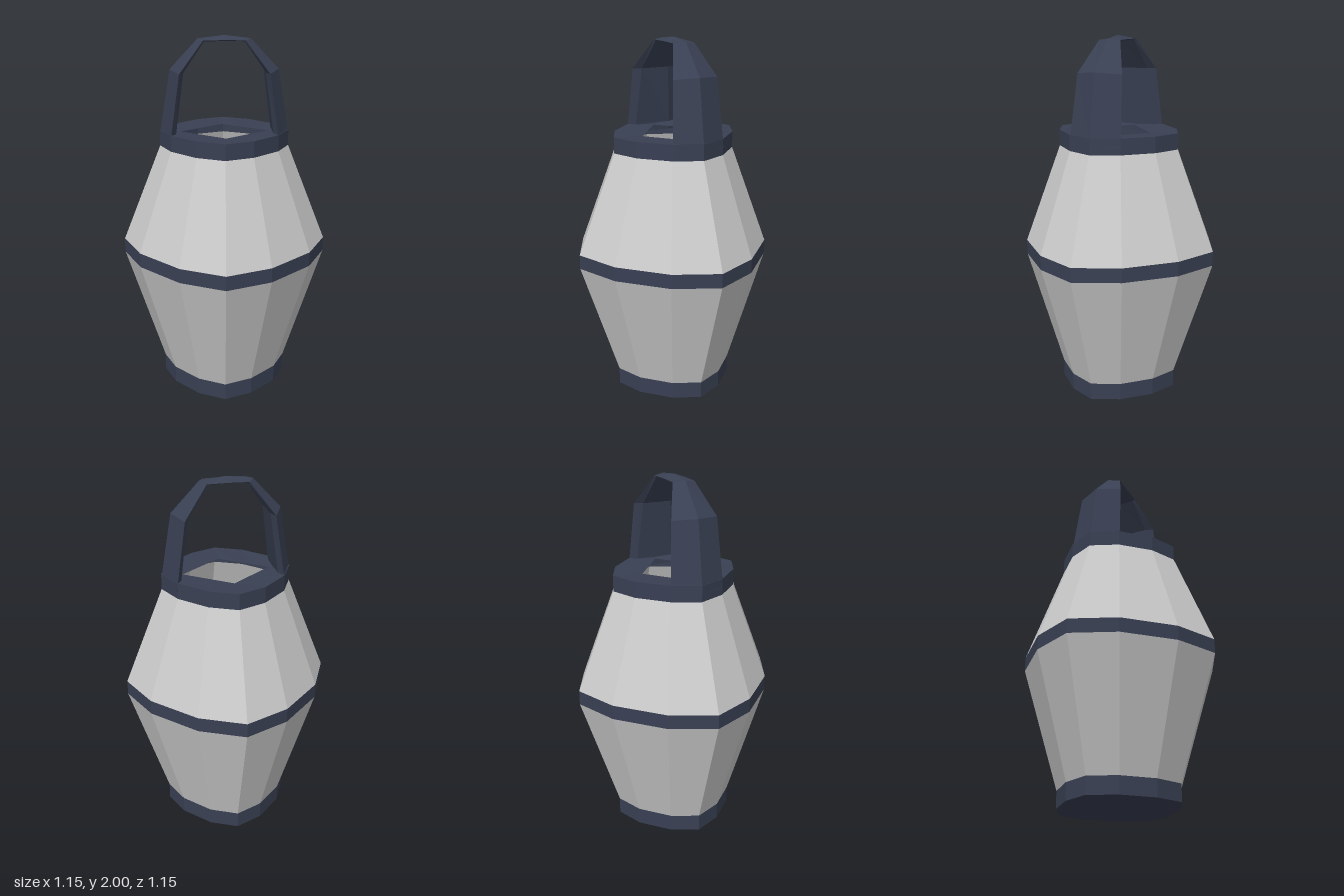
import * as THREE from 'three';

const SIDES = 12;
const grey = new THREE.MeshStandardMaterial({ color: 0xcccccc, side: THREE.DoubleSide });
grey.name = 'pale grey panel';
const navy = new THREE.MeshStandardMaterial({ color: 0x394053, side: THREE.DoubleSide });
navy.name = 'dark navy metal';

// Flat-faceted skin over a list of closed cross-sections
function loft(sections) {
  const pos = [];
  const n = sections[0].length;
  for (let s = 0; s < sections.length - 1; s++) {
    for (let i = 0; i < n; i++) {
      const j = (i + 1) % n;
      const a = sections[s][i], b = sections[s][j];
      const c = sections[s + 1][j], d = sections[s + 1][i];
      pos.push(...a, ...d, ...c, ...a, ...c, ...b);
    }
  }
  const g = new THREE.BufferGeometry();
  g.setAttribute('position', new THREE.Float32BufferAttribute(pos, 3));
  g.computeVertexNormals();
  return g;
}

// Slightly twisted, rounded-diamond outline: one quadrant repeated four times
const quadrant = [[0.573, 0.025], [0.455, 0.262], [0.222, 0.476]];
function ring(y, scale) {
  return Array.from({ length: SIDES }, (_, i) => {
    let [x, z] = quadrant[i % 3];
    for (let q = 0; q < Math.floor(i / 3); q++) [x, z] = [-z, x];
    return [x * scale, y, z * scale];
  });
}

// Diamond-shaped opening with three points per side
function opening(y, rx, rz) {
  const tips = [[rx, 0], [0, rz], [-rx, 0], [0, -rz]];
  return Array.from({ length: SIDES }, (_, i) => {
    const k = Math.floor(i / 3), t = (i % 3) / 3;
    const p = tips[k], q = tips[(k + 1) % 4];
    return [p[0] + (q[0] - p[0]) * t, y, p[1] + (q[1] - p[1]) * t];
  });
}

// Arched handle: half of the stations, the rest turned 180 degrees
function handleSections() {
  // each section: back edge, outer ridge, front edge, inner front, inner back
  const half = [
    [[0.295, 1.44, -0.14], [0.355, 1.44, 0.015], [0.282, 1.44, 0.162], [0.262, 1.44, 0.11], [0.268, 1.44, -0.1]],
    [[0.291, 1.49, -0.139], [0.35, 1.49, 0.014], [0.28, 1.49, 0.158], [0.26, 1.49, 0.11], [0.266, 1.49, -0.1]],
    [[0.245, 1.81, -0.125], [0.295, 1.82, 0.01], [0.235, 1.81, 0.133], [0.218, 1.81, 0.085], [0.222, 1.81, -0.08]],
    [[0.115, 1.977, -0.06], [0.142, 1.983, 0.005], [0.11, 1.977, 0.063], [0.105, 1.971, 0.05], [0.11, 1.971, -0.05]],
  ];
  const top = [[0, 1.979, -0.062], [0, 2, 0], [0, 1.979, 0.062], [0, 1.973, 0.05], [0, 1.973, -0.05]];
  const turned = half.slice().reverse().map((s) =>
    [2, 1, 0, 4, 3].map((k) => [-s[k][0], s[k][1], -s[k][2]]));
  return [...half, top, ...turned];
}

export function createModel() {
  const group = new THREE.Group();
  const add = (name, geometry, material) => {
    const mesh = new THREE.Mesh(geometry, material);
    mesh.name = name;
    group.add(mesh);
    return mesh;
  };

  const NECK = 0.62;
  // Solid foot whose top forms the inner floor
  add('base', loft([ring(0, 0.001), ring(0, NECK), ring(0.095, NECK), ring(0.095, 0.001)]), navy);
  // Flaring body with a band around the widest point
  add('lowerBody', loft([ring(0.095, NECK), ring(0.77, 1)]), grey);
  add('bellyBand', loft([ring(0.77, 1), ring(0.85, 1)]), navy);
  add('upperBody', loft([ring(0.85, 1), ring(1.4, NECK)]), grey);
  // Rim with a diamond opening
  add('rim', loft([ring(1.4, NECK), ring(1.488, NECK), opening(1.48, 0.24, 0.19)]), navy);
  add('handle', loft(handleSections()), navy);

  // Faceted core on the floor, seen through the opening
  const core = new THREE.SphereGeometry(0.12, 8, 5).toNonIndexed();
  core.computeVertexNormals();
  add('core', core, grey).position.set(0, 0.2, -0.02);

  return group;
}
